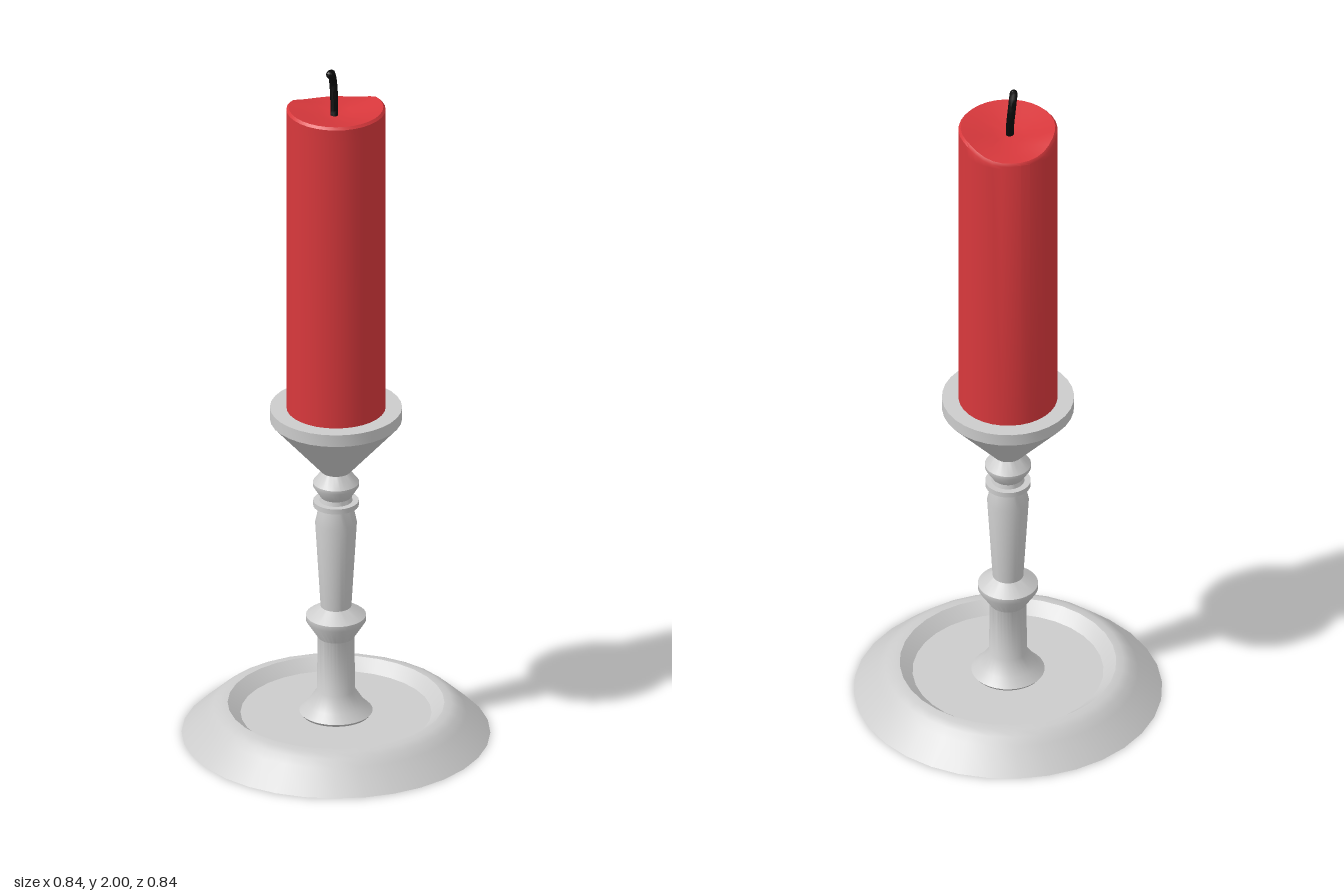
import * as THREE from 'three';
import { toCreasedNormals } from 'three/addons/utils/BufferGeometryUtils.js';

const SEGMENTS = 32;

// Revolve a bottom-to-top [radius, y] profile around the y axis.
function turned(profile) {
  return new THREE.LatheGeometry(profile.map(([r, y]) => new THREE.Vector2(r, y)), SEGMENTS);
}

function part(name, geometry, color, crease = 0.6) {
  const mesh = new THREE.Mesh(
    toCreasedNormals(geometry, crease),
    new THREE.MeshStandardMaterial({ color })
  );
  mesh.name = name;
  return mesh;
}

export function createModel() {
  const model = new THREE.Group();
  model.name = 'candlestick';
  const grey = 0xcccccc;

  // Wide dish with a rounded shoulder and a sunken floor
  model.add(part('base', turned([
    [0, 0], [0.42, 0], [0.355, 0.06], [0.335, 0.078], [0.315, 0.088],
    [0.295, 0.09], [0.26, 0.06], [0, 0.06],
  ]), grey));

  // Turned stem: foot, shaft, lower collar, tapered baluster, thin ring, bead
  model.add(part('stem', turned([
    [0, 0.055], [0.09, 0.055], [0.1, 0.068], [0.078, 0.09], [0.052, 0.13],
    [0.05, 0.29], [0.082, 0.34], [0.082, 0.355], [0.042, 0.382],
    [0.057, 0.635], [0.046, 0.685], [0.062, 0.685], [0.062, 0.7],
    [0.045, 0.7], [0.042, 0.712], [0.063, 0.745], [0.063, 0.755],
    [0.036, 0.79], [0, 0.79],
  ]), grey));

  // Conical cup with an upright rim
  model.add(part('cup', turned([
    [0, 0.788], [0.04, 0.788], [0.18, 0.945], [0.18, 0.98], [0, 0.978],
  ]), grey));

  // Candle with a dished top whose edge has melted down at the back
  const wax = turned([
    [0, 0.965], [0.135, 0.965], [0.135, 1.84], [0.135, 1.878], [0.129, 1.885],
    [0.09, 1.876], [0.045, 1.866], [0, 1.86],
  ]);
  const pos = wax.attributes.position;
  for (let i = 0; i < pos.count; i++) {
    const y = pos.getY(i);
    if (y < 1.85) continue;
    const toward = (pos.getX(i) * 0.45 - pos.getZ(i) * 0.89) / 0.135;
    const melt = THREE.MathUtils.smoothstep(toward, 0.3, 1);
    pos.setY(i, y - 0.03 * melt);
  }
  model.add(part('candle', wax, 0xd8383c, 0.7));

  // Curled wick with closed ends
  const wick = new THREE.Group();
  wick.name = 'wick';
  const path = new THREE.CatmullRomCurve3([
    [-0.006, 1.85, 0], [0.002, 1.9, -0.012], [0.005, 1.95, -0.022],
    [-0.004, 1.98, -0.016], [-0.021, 1.988, 0.002],
  ].map((p) => new THREE.Vector3(...p)));
  wick.add(part('wickCord', new THREE.TubeGeometry(path, 20, 0.011, 8), 0x0a0a0a, 1));
  const tip = part('wickTip', new THREE.SphereGeometry(0.011, 8, 6), 0x0a0a0a, 1);
  tip.position.copy(path.getPoint(1));
  wick.add(tip);
  model.add(wick);

  return model;
}
